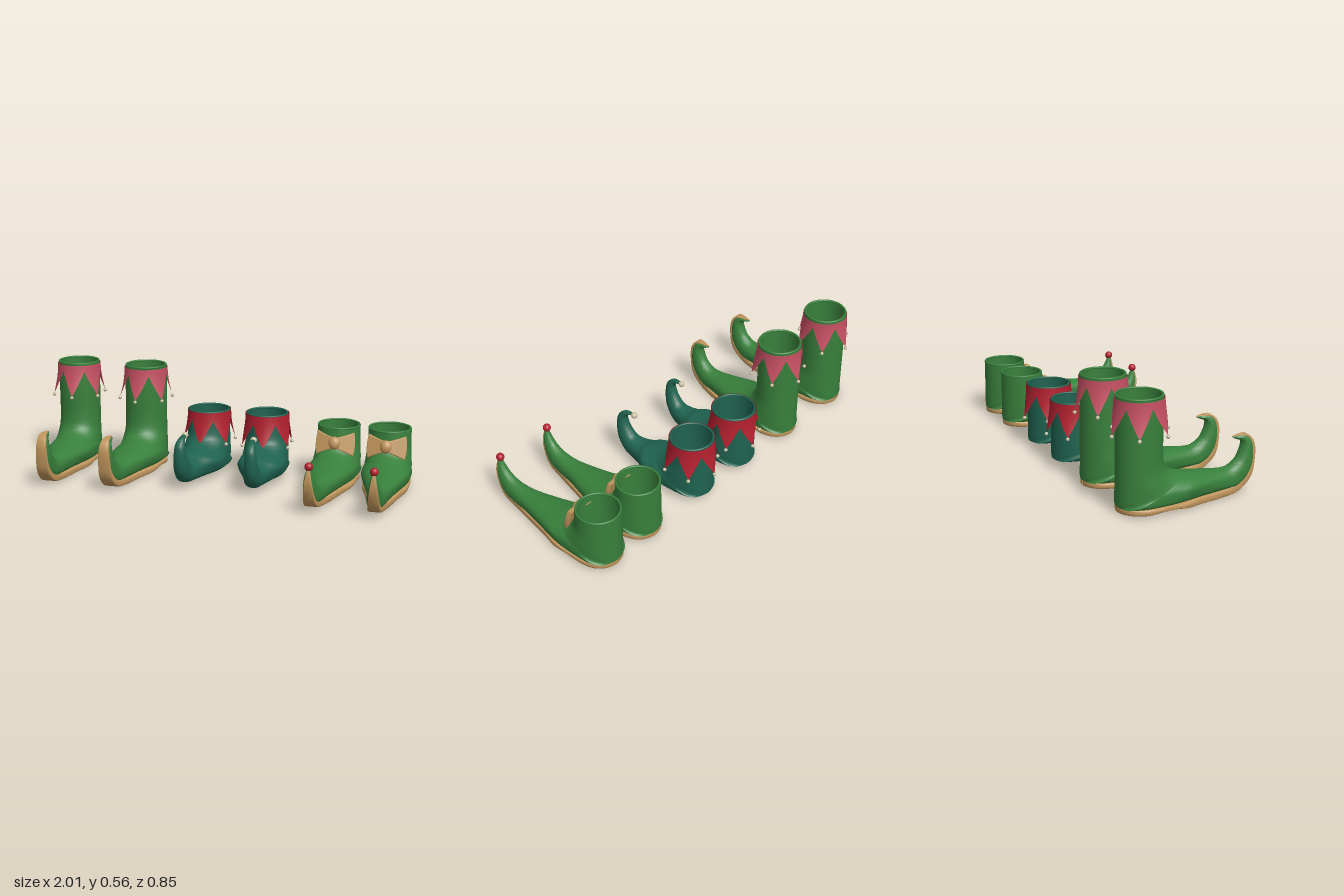
import * as THREE from 'three';
import { toCreasedNormals } from 'three/addons/utils/BufferGeometryUtils.js';

const mat = (name, color) => new THREE.MeshStandardMaterial({ name, color, side: THREE.DoubleSide });
const HEEL = -0.39, ANKLE = -0.277, R = 0.1125;

// Sideways drift of the foot from ankle to toe
const drift = (z, k) => k * Math.max(0, z + 0.28) / 0.65;

// Skin over sections [inner z, inner y, outer z, outer y, half width, outer squareness]
function loft(sections, k, { topN = 2, floor = -1, steps = 5, heel = false } = {}) {
  const spline = f => new THREE.CatmullRomCurve3(sections.map(f), false, 'catmullrom', 0.5);
  const inner = spline(s => new THREE.Vector3(0, s[1], s[0]));
  const outer = spline(s => new THREE.Vector3(0, s[3], s[2]));
  const size = spline(s => new THREE.Vector3(s[4], s[5], 0));
  const rows = (sections.length - 1) * steps, seg = 36, pos = [], index = [];
  for (let i = 0; i <= rows; i++) {
    const a = inner.getPoint(i / rows), b = outer.getPoint(i / rows), s = size.getPoint(i / rows);
    for (let j = 0; j < seg; j++) {
      const th = j / seg * Math.PI * 2, c = Math.cos(th), sn = Math.sin(th);
      const e = 2 / (c > 0 ? topN : Math.max(2, s.y));
      const t = (1 - Math.sign(c) * Math.abs(c) ** e) / 2;
      const p = a.clone().lerp(b, t);
      let x = Math.max(s.x, 0.0005) * Math.abs(sn) ** e;
      if (heel) {
        p.z = Math.max(p.z, HEEL);
        if (p.z < ANKLE) x = Math.min(x, s.x * Math.sqrt(Math.max(0, 1 - ((p.z - ANKLE) / (ANKLE - HEEL)) ** 2)));
      }
      pos.push(Math.sign(sn) * x + drift(p.z, k), Math.max(p.y, floor), p.z);
      if (i < rows) {
        const q = i * seg + j, r = i * seg + (j + 1) % seg;
        index.push(q, q + seg, r, r, q + seg, r + seg);
      }
    }
  }
  const g = new THREE.BufferGeometry();
  g.setAttribute('position', new THREE.Float32BufferAttribute(pos, 3));
  g.setIndex(index);
  return toCreasedNormals(g, 0.7);
}

// Shaft, heel and instep, shared by every shoe
const legSections = (top, base) => {
  const out = [];
  for (let y = top; y > 0.26; y -= 0.09) out.push([-0.165, y, HEEL, y, R, 2]);
  return out.concat([
    [-0.155, 0.21, HEEL, 0.19, 0.114, 2],
    [-0.125, 0.175, HEEL, 0.11, 0.12, 2],
    [-0.08, 0.16, HEEL, base, 0.124, 2],
    [-0.06, 0.155, -0.36, base, 0.125, 4],
    [-0.03, 0.149, -0.27, base, 0.125, 6],
    [0, 0.143, -0.13, base, 0.12, 5]]);
};

// Toe curls
const curlBack = [
  [0.08, 0.135, 0.03, 0.03, 0.086, 4], [0.16, 0.128, 0.15, 0.03, 0.062, 3.5],
  [0.205, 0.135, 0.24, 0.032, 0.05, 3], [0.245, 0.165, 0.31, 0.08, 0.042, 2.5],
  [0.265, 0.2, 0.336, 0.15, 0.038, 2.5], [0.275, 0.235, 0.337, 0.23, 0.032, 2],
  [0.268, 0.253, 0.31, 0.275, 0.024, 2], [0.245, 0.262, 0.27, 0.282, 0.016, 2],
  [0.225, 0.273, 0.226, 0.277, 0.003, 2]];
const curlBell = [
  [0.04, 0.13, -0.02, 0.025, 0.085, 4], [0.08, 0.132, 0.07, 0.025, 0.06, 3],
  [0.11, 0.142, 0.14, 0.033, 0.047, 2.5], [0.135, 0.17, 0.195, 0.085, 0.04, 2],
  [0.152, 0.2, 0.213, 0.15, 0.034, 2], [0.16, 0.235, 0.21, 0.23, 0.028, 2],
  [0.148, 0.258, 0.185, 0.267, 0.02, 2], [0.125, 0.27, 0.145, 0.284, 0.013, 2],
  [0.105, 0.275, 0.108, 0.283, 0.004, 2]];
const curlUp = [
  [0.1, 0.132, 0.03, 0.03, 0.088, 4], [0.2, 0.125, 0.16, 0.03, 0.06, 3.5],
  [0.25, 0.13, 0.27, 0.031, 0.048, 3], [0.3, 0.142, 0.35, 0.048, 0.04, 3],
  [0.345, 0.168, 0.395, 0.1, 0.032, 2.5], [0.37, 0.2, 0.413, 0.16, 0.024, 2],
  [0.385, 0.23, 0.41, 0.21, 0.014, 2], [0.393, 0.247, 0.4, 0.245, 0.004, 2]];

// Flat sole that carries on up the outside of the curl
function soleSections(curl) {
  const flat = [[-0.388, 0.001], [-0.382, 0.035], [-0.365, 0.07], [-0.33, 0.1], [-0.27, 0.117],
    [-0.2, 0.121], [-0.13, 0.12], [-0.07, 0.113]].map(([z, w]) =>
    [z, 0.036, z, z > -0.22 && z < -0.1 ? 0.012 : 0.004, w, 8]);
  const rising = curl.map(([zi, yi, zo, yo, w], i) => {
    const out = new THREE.Vector2(zo, yo), dir = out.clone().sub(new THREE.Vector2(zi, yi));
    const len = dir.length(), d = Math.min(Math.max(0.003, 0.03 - 0.009 * Math.max(0, i - 1)), 0.03);
    if (i < 2) return [zo, 0.036, zo, 0, w * 0.97, 8];
    dir.normalize();
    const a = out.clone().addScaledVector(dir, -len * 0.22), b = out.clone().addScaledVector(dir, d);
    return [a.x, a.y, b.x, Math.max(0, b.y), w * 0.82, 8];
  });
  return flat.concat(rising);
}

// Pointed collar: six hanging points that flare outward
function cuffGeometry(top, valley, tip) {
  const g = new THREE.PlaneGeometry(1, 1, 72, 6), p = g.attributes.position;
  for (let i = 0; i < p.count; i++) {
    const u = p.getX(i) + 0.5, v = 0.5 - p.getY(i);
    const wave = Math.abs(((u * 6) % 1) * 2 - 1);
    const y = top - v * (top - valley + (valley - tip) * wave);
    const r = R + 0.005 + 0.026 * ((top - y) / (top - tip)) ** 2, th = u * Math.PI * 2;
    p.setXYZ(i, r * Math.sin(th), y, r * Math.cos(th) * (Math.cos(th) > 0 ? 1 + 0.08 * (top - y) / (top - tip) : 1));
  }
  g.computeVertexNormals();
  return g;
}

function bow(material) {
  const g = new THREE.Group();
  g.name = 'bow';
  const s = new THREE.Shape();
  s.moveTo(0, -0.022);
  s.quadraticCurveTo(0.05, -0.035, 0.095, -0.056);
  s.quadraticCurveTo(0.108, 0, 0.095, 0.056);
  s.quadraticCurveTo(0.05, 0.035, 0, 0.022);
  s.closePath();
  const wing = new THREE.ExtrudeGeometry(s, { depth: 0.012, bevelSize: 0.005, bevelThickness: 0.005, bevelSegments: 2 });
  for (const turn of [0.22, Math.PI - 0.22]) {
    const m = new THREE.Mesh(wing, material);
    m.name = 'bowWing';
    m.rotation.y = turn;
    g.add(m);
  }
  const knot = new THREE.Mesh(new THREE.SphereGeometry(1, 20, 14), material);
  knot.name = 'bowKnot';
  knot.scale.set(0.03, 0.034, 0.022);
  knot.position.z = 0.012;
  g.add(knot);
  g.position.set(0, 0.222, -0.148);
  g.rotation.x = -0.28;
  return g;
}

export function createModel() {
  const green = mat('green', 0x38803c), teal = mat('teal', 0x1f6350), red = mat('red', 0xb3202f);
  const pink = mat('pink', 0xc65062), tan = mat('tan', 0xc0955c), cream = mat('cream', 0xc9bfa3);
  const model = new THREE.Group();
  model.name = 'shoes';

  const pairs = [
    { name: 'tallBoot', x: -0.685, half: 0.196, toe: -0.025, top: 0.553, base: 0.03, curl: curlBack,
      main: green, insole: tan, sole: true, cuff: [pink, 0.545, 0.51, 0.38] },
    { name: 'ankleBoot', x: 0.035, half: 0.162, toe: 0.035, top: 0.33, base: 0.025, curl: curlBell,
      main: teal, insole: teal, cuff: [red, 0.331, 0.285, 0.165], ball: [cream, 0.277, 0.105, 0.017] },
    { name: 'bowShoe', x: 0.725, half: 0.135, toe: 0.023, top: 0.293, base: 0.03, curl: curlUp,
      main: green, insole: tan, sole: true, bow: true, ball: [red, 0.247, 0.395, 0.021] }];

  for (const o of pairs) for (const side of [-1, 1]) {
    const shoe = new THREE.Group(), k = side * o.toe;
    shoe.name = o.name + (side > 0 ? 'Left' : 'Right');
    shoe.position.x = o.x + side * o.half;
    const add = (name, geo, material, x = 0, y = 0, z = 0) => {
      const m = new THREE.Mesh(geo, material);
      m.name = name;
      m.position.set(x, y, z);
      shoe.add(m);
      return m;
    };
    add('upper', loft(legSections(o.top, o.base).concat(o.curl), k, { floor: o.base, heel: true }), o.main);
    if (o.sole) add('sole', loft(soleSections(o.curl), k, { topN: 8, steps: 4 }), tan);

    // Opening: rim, lining and insole
    add('rim', new THREE.TorusGeometry(R - 0.005, 0.006, 8, 40).rotateX(Math.PI / 2), o.main, 0, o.top, ANKLE);
    const depth = o.top - 0.05;
    add('lining', new THREE.CylinderGeometry(0.103, 0.103, depth, 40, 1, true), o.main, 0, 0.05 + depth / 2, ANKLE);
    add('insole', new THREE.CylinderGeometry(0.103, 0.103, 0.008, 40), o.insole, 0, 0.052, ANKLE);

    // Collar with a small bell on each point
    if (o.cuff) {
      const [material, top, valley, tip] = o.cuff;
      const collar = new THREE.Group();
      collar.name = 'collar';
      collar.position.z = ANKLE;
      collar.rotation.y = -side * Math.sign(o.toe) * -0.08;
      const cuff = new THREE.Mesh(cuffGeometry(top, valley, tip), material);
      cuff.name = 'cuff';
      collar.add(cuff);
      for (let i = 0; i < 6; i++) {
        const th = i * Math.PI / 3, r = R + 0.031;
        const bell = new THREE.Mesh(new THREE.SphereGeometry(0.0095, 14, 10), cream);
        bell.name = 'bell';
        bell.position.set(r * Math.sin(th), tip - 0.006, r * Math.cos(th) * (Math.cos(th) > 0 ? 1.08 : 1));
        collar.add(bell);
      }
      shoe.add(collar);
    }
    if (o.bow) shoe.add(bow(tan));
    if (o.ball) {
      const [material, y, z, r] = o.ball;
      add('toeBall', new THREE.SphereGeometry(r, 20, 14), material, drift(z, k), y, z);
    }
    model.add(shoe);
  }
  return model;
}
